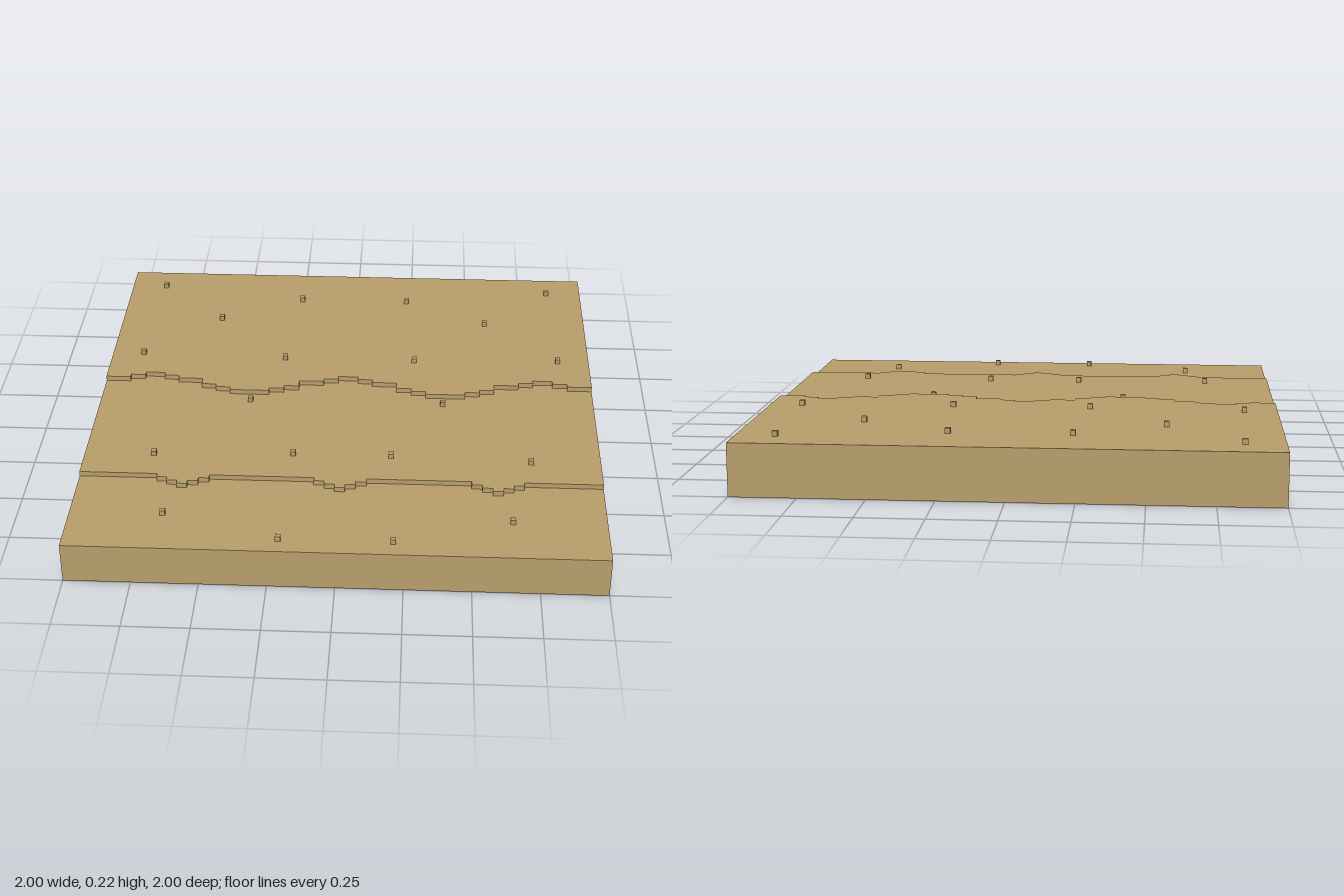
import * as THREE from 'three';

const STEP = 0.02; // height of one terrace and of one pebble
const BASE = 0.16;

// Stepped front edges of the terraces, right half: [x where the step ends, z]
const UPPER_EDGE = [
  [0.04, -0.14], [0.10, -0.12], [0.20, -0.10], [0.26, -0.06], [0.32, -0.04], [0.48, -0.02],
  [0.54, -0.04], [0.60, -0.06], [0.70, -0.10], [0.76, -0.12], [0.84, -0.14], [0.90, -0.12], [1, -0.10],
];
const LOWER_EDGE = [
  [0.02, 0.62], [0.06, 0.60], [0.10, 0.58], [0.50, 0.56], [0.54, 0.58], [0.58, 0.60],
  [0.62, 0.62], [0.66, 0.60], [0.70, 0.58], [1, 0.56],
];

// Pebbles, mirrored in x: [x, z, ground height]
const PEBBLES = [
  [0.85, -0.87, 0.20], [0.23, -0.77, 0.20], [0.57, -0.59, 0.20], [0.87, -0.29, 0.20], [0.27, -0.27, 0.20],
  [0.39, 0.03, 0.18], [0.19, 0.41, 0.18], [0.73, 0.43, 0.18],
  [0.65, 0.79, 0.16], [0.21, 0.93, 0.16],
];

// Slab from the back edge to a stepped front edge
function terrace(edge, y, material, name) {
  const half = [];
  let start = 0;
  for (const [end, z] of edge) {
    half.push([start, -z], [end, -z]);
    start = end;
  }
  const left = half.slice(1).reverse().map(([x, v]) => [-x, v]);
  const outline = [...left, ...half.slice(1), [1, 1], [-1, 1]];
  const shape = new THREE.Shape(outline.map(([x, v]) => new THREE.Vector2(x, v)));
  const geometry = new THREE.ExtrudeGeometry(shape, { depth: STEP, bevelEnabled: false });
  geometry.rotateX(-Math.PI / 2);
  const mesh = new THREE.Mesh(geometry, material);
  mesh.position.y = y;
  mesh.name = name;
  return mesh;
}

export function createModel() {
  const group = new THREE.Group();
  group.name = 'sandTile';
  const sand = new THREE.MeshStandardMaterial({ color: 0xb99f6c });
  sand.name = 'sand';

  // Ground block
  const base = new THREE.Mesh(new THREE.BoxGeometry(2, BASE, 2), sand);
  base.position.y = BASE / 2;
  base.name = 'groundBlock';
  group.add(base);

  // Two terraces rising to the back
  group.add(terrace(LOWER_EDGE, BASE, sand, 'lowerTerrace'));
  group.add(terrace(UPPER_EDGE, BASE + STEP, sand, 'upperTerrace'));

  // Scattered pebbles
  const pebbles = new THREE.Group();
  pebbles.name = 'pebbles';
  const cube = new THREE.BoxGeometry(STEP, STEP, STEP);
  for (const [x, z, ground] of PEBBLES) {
    for (const side of [-1, 1]) {
      const pebble = new THREE.Mesh(cube, sand);
      pebble.position.set(side * x, ground + STEP / 2, z);
      pebble.name = 'pebble';
      pebbles.add(pebble);
    }
  }
  group.add(pebbles);
  return group;
}
